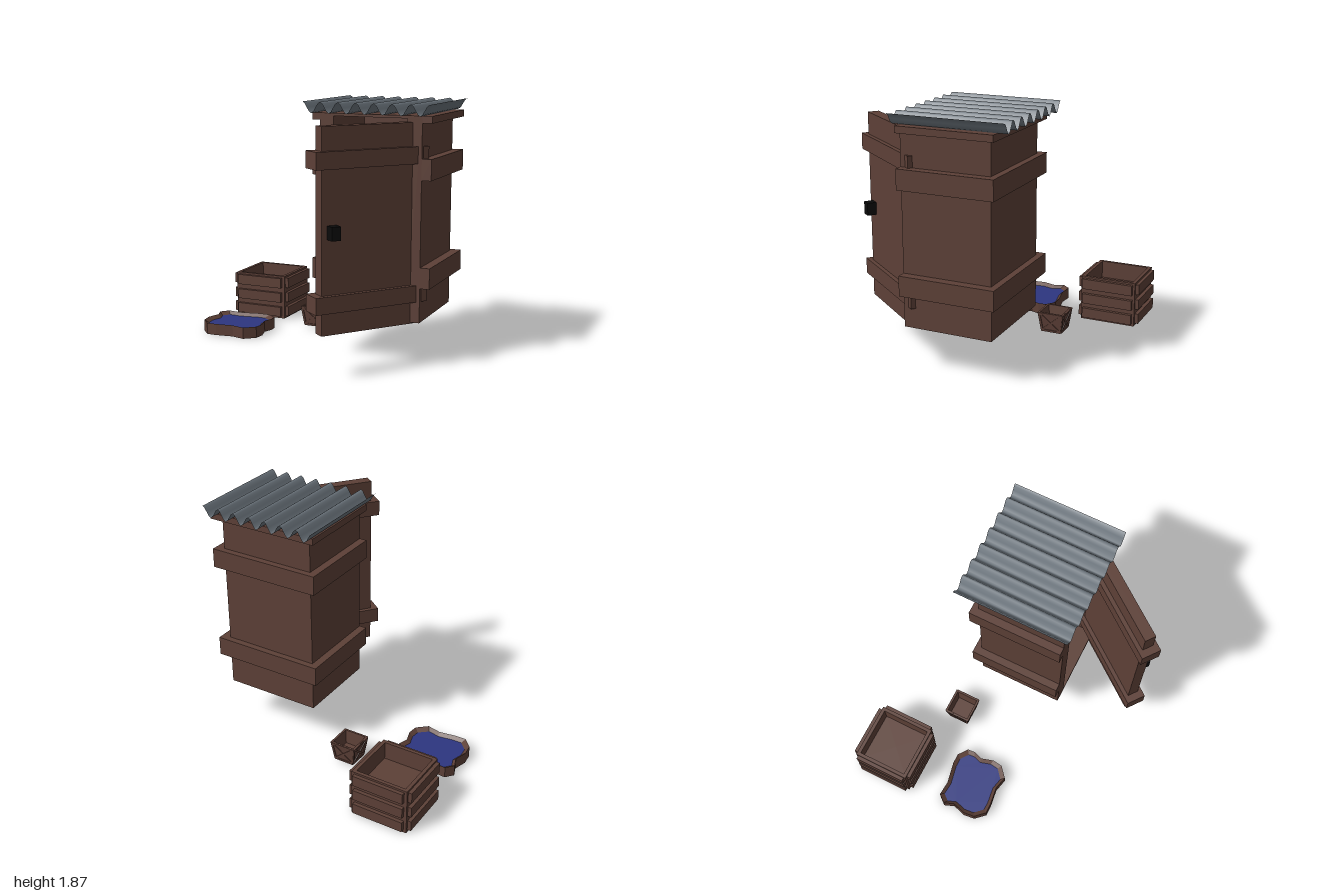
import * as THREE from 'three';

const mat = (name, color) => Object.assign(new THREE.MeshStandardMaterial({ color }), { name });

export function createModel() {
  const wood = mat('brown wood', 0x5d4037);
  const metal = mat('grey corrugated metal', 0x6c757d);
  metal.side = THREE.DoubleSide;
  const black = mat('black iron', 0x0b0b0b);
  const blue = mat('blue water', 0x2d3680);

  const model = new THREE.Group();
  model.name = 'outhouseScene';
  const group = (name) => {
    const g = new THREE.Group();
    g.name = name;
    model.add(g);
    return g;
  };
  const add = (parent, name, geo, m = wood) => {
    const mesh = new THREE.Mesh(geo, m);
    mesh.name = name;
    parent.add(mesh);
    return mesh;
  };
  // Box given by its lower and upper limits
  const box = (parent, name, [x0, x1], [y0, y1], [z0, z1], m = wood) => {
    const mesh = add(parent, name, new THREE.BoxGeometry(x1 - x0, y1 - y0, z1 - z0), m);
    mesh.position.set((x0 + x1) / 2, (y0 + y1) / 2, (z0 + z1) / 2);
    return mesh;
  };
  // Flat-sided square tub turned from a profile of [half width, height]
  const tub = (profile) => {
    const pts = profile.map(([r, y]) => new THREE.Vector2(r * Math.SQRT2, y));
    const geo = new THREE.LatheGeometry(pts, 4, Math.PI / 4).toNonIndexed();
    geo.computeVertexNormals();
    return geo;
  };

  // Shed body, open at the front
  const shed = group('shed');
  const body = [0.33, 1.79];
  box(shed, 'rightWall', [0.16, 0.267], body, [-0.36, 0.32]);
  box(shed, 'leftWall', [0.823, 0.93], body, [-0.36, 0.32]);
  box(shed, 'backWall', [0.267, 0.823], body, [-0.36, -0.26]);
  box(shed, 'floor', [0.267, 0.823], [0.33, 0.355], [-0.26, 0.32]);
  box(shed, 'ceiling', [0.267, 0.823], [1.77, 1.79], [-0.26, 0.32]);

  // Boards wrapping the sides and back
  for (const y of [[0.58, 0.73], [1.345, 1.495], [1.74, 1.79]]) {
    box(shed, 'rightBand', [0.1, 0.16], y, [-0.41, 0.32]);
    box(shed, 'leftBand', [0.93, 1.0], y, [-0.41, 0.32]);
    box(shed, 'backBand', [0.16, 0.93], y, [-0.41, -0.36]);
  }

  // Corrugated roof sheet
  const waves = 7;
  const roofGeo = new THREE.PlaneGeometry(0.95, 0.87, waves * 8, 1).rotateX(-Math.PI / 2);
  const p = roofGeo.attributes.position;
  for (let i = 0; i < p.count; i++) {
    p.setY(i, 0.04 * Math.cos(((p.getX(i) + 0.475) / 0.95) * waves * 2 * Math.PI));
  }
  roofGeo.computeVertexNormals();
  add(shed, 'roof', roofGeo, metal).position.set(0.525, 1.83, -0.055);

  // Open door with two cross boards and a handle
  const door = group('door');
  door.position.set(0.63, 0, 0.552);
  door.rotation.y = 0.914;
  box(door, 'doorPanel', [-0.3825, 0.3825], [0.32, 1.745], [-0.0425, 0.0425]);
  for (const y of [[0.48, 0.6], [1.46, 1.58]]) {
    box(door, 'doorBand', [-0.44, 0.44], y, [-0.075, 0.075]);
  }
  box(door, 'handle', [-0.341, -0.271], [0.985, 1.08], [0.04, 0.112], black);

  // Large plank crate
  const crate = group('crate');
  crate.position.set(-0.75, 0, -0.69);
  add(crate, 'crateBody', tub([[0, 0], [0.222, 0], [0.222, 0.36], [0.195, 0.36], [0.195, 0.22], [0, 0.22]]));
  for (const y of [[0.02, 0.1], [0.14, 0.22], [0.262, 0.345]]) {
    for (const s of [-1, 1]) {
      const side = [0.22, 0.25].map((v) => v * s).sort((a, b) => a - b);
      box(crate, 'sidePlank', side, y, [-0.205, 0.205]);
      box(crate, 'endPlank', [-0.2, 0.2], y, side);
    }
  }

  // Small tapered crate with crossed braces
  const small = group('smallCrate');
  small.position.set(-0.18, 0.02, -0.382);
  const [lo, hi, tall] = [0.078, 0.1, 0.16];
  add(small, 'smallCrateBody', tub([[0, 0], [lo, 0], [hi, tall], [hi - 0.012, tall], [lo, 0.05], [0, 0.05]]));
  const tilt = Math.atan2(hi - lo, tall);
  for (let i = 0; i < 4; i++) {
    const side = new THREE.Group();
    side.name = 'bracedSide';
    side.rotation.y = (i * Math.PI) / 2;
    small.add(side);
    const bar = (name, x0, y0, x1, y1, w) => {
      const dx = x1 - x0, dy = y1 - y0;
      const geo = new THREE.BoxGeometry(Math.hypot(dx, dy), w, 0.008);
      geo.rotateZ(Math.atan2(dy, dx)).translate((x0 + x1) / 2, (y0 + y1) / 2, 0).rotateX(tilt);
      add(side, name, geo).position.z = lo + 0.002;
    };
    bar('topRail', -hi, 0.152, hi, 0.152, 0.016);
    bar('bottomRail', -lo, 0.009, lo, 0.009, 0.016);
    for (const s of [-1, 1]) {
      bar('cornerPost', s * (lo - 0.006), 0.004, s * (hi - 0.006), 0.156, 0.016);
      bar('crossBrace', -s * (lo - 0.01), 0.014, s * (hi - 0.012), 0.15, 0.015);
    }
  }

  // Wavy pond: outer wall, inward sloping rim, underside and water
  const pond = group('pond');
  const outline = [
    [-0.96, -0.15], [-0.91, -0.21], [-0.8, -0.2], [-0.63, -0.235], [-0.55, -0.235], [-0.475, -0.18],
    [-0.47, -0.12], [-0.495, -0.05], [-0.465, 0.05], [-0.475, 0.13], [-0.555, 0.2], [-0.66, 0.175],
    [-0.8, 0.195], [-0.88, 0.195], [-0.95, 0.12], [-0.96, 0.03], [-0.93, -0.07],
  ];
  const inner = outline.map(([x, z]) => [-0.712 + (x + 0.712) * 0.87, -0.018 + (z + 0.018) * 0.86]);
  const strip = (a, ya, b, yb) => {
    const pos = [];
    a.forEach(([x, z], i) => {
      const j = (i + 1) % a.length;
      const a0 = [x, ya, z], a1 = [b[i][0], yb, b[i][1]];
      const b0 = [a[j][0], ya, a[j][1]], b1 = [b[j][0], yb, b[j][1]];
      pos.push(...a0, ...a1, ...b1, ...a0, ...b1, ...b0);
    });
    const geo = new THREE.BufferGeometry();
    geo.setAttribute('position', new THREE.Float32BufferAttribute(pos, 3));
    geo.computeVertexNormals();
    return geo;
  };
  const flat = (loop, s) =>
    new THREE.ShapeGeometry(new THREE.Shape(loop.map(([x, z]) => new THREE.Vector2(x, -s * z)))).rotateX((-s * Math.PI) / 2);
  add(pond, 'pondWall', strip(outline, 0, outline, 0.09));
  add(pond, 'pondRim', strip(outline, 0.09, inner, 0.065));
  add(pond, 'pondBottom', flat(outline, -1));
  add(pond, 'water', flat(inner, 1), blue).position.y = 0.065;

  return model;
}
